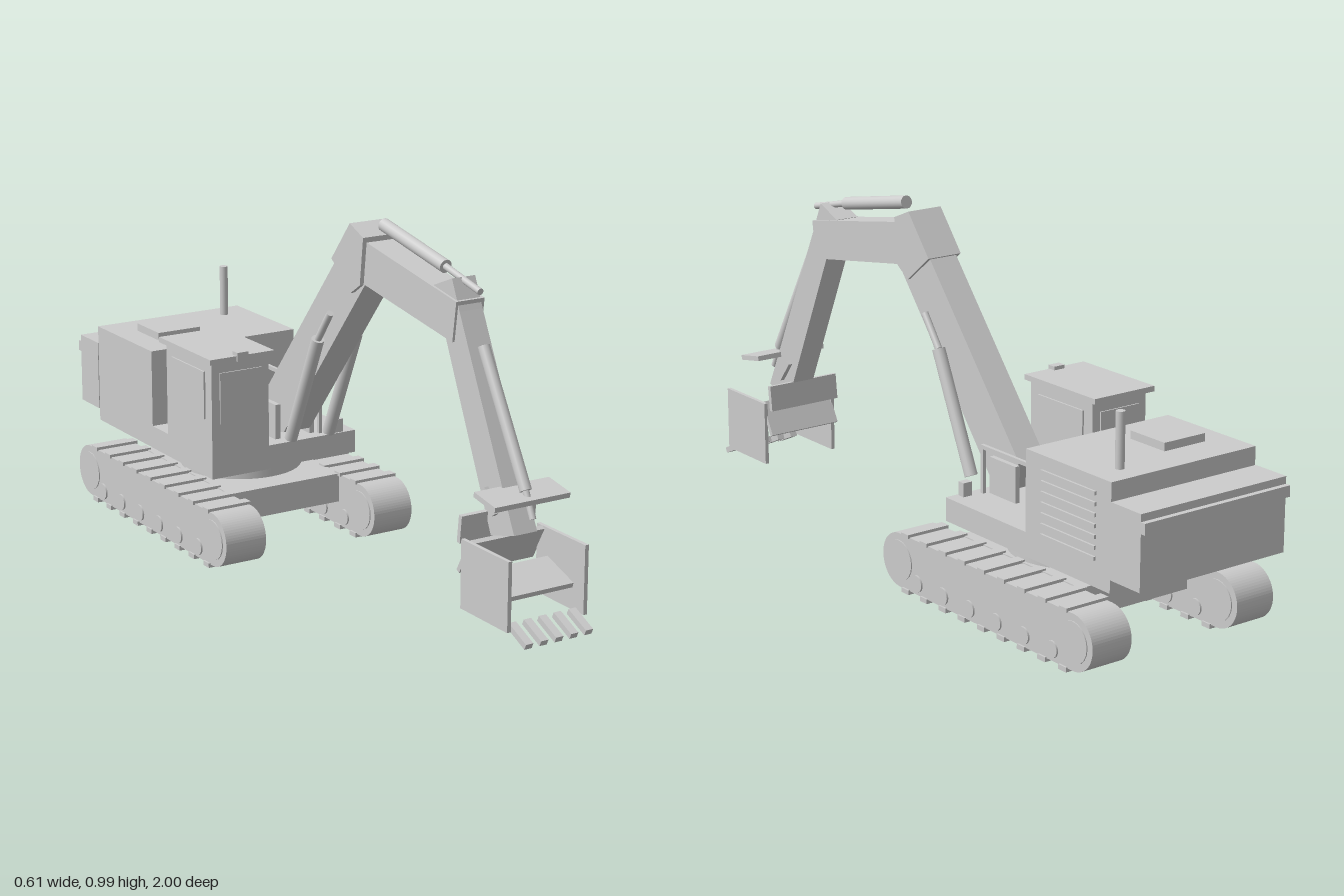
import * as THREE from 'three';

export function createModel() {
  const root = new THREE.Group();
  root.name = 'excavator';
  const grey = new THREE.MeshStandardMaterial({ color: 0xcccccc });
  grey.name = 'light grey';

  const add = (name, geo) => {
    const m = new THREE.Mesh(geo, grey);
    m.name = name;
    root.add(m);
    return m;
  };
  // box from its min and max on each axis
  const box = (name, x0, x1, y0, y1, z0, z1) =>
    add(name, new THREE.BoxGeometry(x1 - x0, y1 - y0, z1 - z0)
      .translate((x0 + x1) / 2, (y0 + y1) / 2, (z0 + z1) / 2));
  // side outline in (z, y), extruded from x0 to x1
  const extrudeX = (shape, x0, x1) =>
    new THREE.ExtrudeGeometry(shape, { depth: x1 - x0, bevelEnabled: false, curveSegments: 16 })
      .rotateY(-Math.PI / 2).translate(x1, 0, 0);
  const prism = (name, pts, x0, x1) =>
    add(name, extrudeX(new THREE.Shape(pts.map(p => new THREE.Vector2(...p))), x0, x1));
  // round bar between two (z, y) points at a given x
  const bar = (name, x, a, b, r) => {
    const p = new THREE.Vector3(x, a[1], a[0]), q = new THREE.Vector3(x, b[1], b[0]);
    const d = q.clone().sub(p);
    const m = add(name, new THREE.CylinderGeometry(r, r, d.length(), 16));
    m.position.copy(p).addScaledVector(d, 0.5);
    m.quaternion.setFromUnitVectors(new THREE.Vector3(0, 1, 0), d.normalize());
  };
  // thin plate between two (z, y) points
  const plate = (name, a, b, t, x0, x1) => {
    const dz = b[0] - a[0], dy = b[1] - a[1], l = Math.hypot(dz, dy);
    const nz = -dy / l * t / 2, ny = dz / l * t / 2;
    prism(name, [[a[0] - nz, a[1] - ny], [b[0] - nz, b[1] - ny],
      [b[0] + nz, b[1] + ny], [a[0] + nz, a[1] + ny]], x0, x1);
  };
  const disc = (name, x, y, z, r, w) =>
    add(name, new THREE.CylinderGeometry(r, r, w, 20).rotateZ(Math.PI / 2).translate(x, y, z));

  // tracks with shoes, wheels and rollers
  const R = 0.075, cy = 0.085, zf = -0.09, zb = -0.815;
  for (const s of [-1, 1]) {
    const x = s * 0.237;
    const loop = new THREE.Shape();
    loop.moveTo(zb, cy - R);
    loop.lineTo(zf, cy - R);
    loop.absarc(zf, cy, R, -Math.PI / 2, Math.PI / 2, false);
    loop.lineTo(zb, cy + R);
    loop.absarc(zb, cy, R, Math.PI / 2, Math.PI * 1.5, false);
    add('track', extrudeX(loop, x - 0.062, x + 0.062));
    for (let i = 0; i < 9; i++) {
      const z = -0.12 - i * 0.0825;
      box('trackShoe', x - 0.067, x + 0.067, 0.157, 0.168, z - 0.015, z + 0.015);
      box('trackShoe', x - 0.067, x + 0.067, 0, 0.013, z - 0.015, z + 0.015);
    }
    for (const z of [zf, zb]) disc('endWheel', x, cy, z, 0.056, 0.13);
    for (let i = 0; i < 6; i++) disc('roller', x, 0.042, -0.17 - i * 0.113, 0.023, 0.134);
  }

  // undercarriage and slewing ring
  box('undercarriage', -0.18, 0.18, 0.08, 0.163, -0.7, -0.2);
  add('slewRing', new THREE.CylinderGeometry(0.173, 0.173, 0.06, 40).translate(0, 0.187, -0.45));

  // upper body
  box('platform', -0.235, 0.235, 0.215, 0.28, -0.875, -0.21);
  box('engineHouse', -0.235, 0.235, 0.28, 0.5, -0.875, -0.545);
  box('counterweight', -0.237, 0.235, 0.25, 0.45, -0.985, -0.875);
  box('rearBumper', -0.237, 0.235, 0.4, 0.43, -1, -0.985);
  box('roofHatch', -0.16, -0.025, 0.5, 0.522, -0.77, -0.64);
  add('exhaust', new THREE.CylinderGeometry(0.012, 0.012, 0.15, 16).translate(0.15, 0.572, -0.805));
  for (let i = 0; i < 7; i++) {
    const y = 0.285 + i * 0.028;
    box('louver', 0.232, 0.241, y, y + 0.01, -0.82, -0.61);
  }

  // cab
  box('cab', -0.235, -0.055, 0.215, 0.547, -0.455, -0.2);
  box('cabRoof', -0.247, -0.045, 0.545, 0.56, -0.475, -0.185);
  box('roofLight', -0.165, -0.13, 0.545, 0.57, -0.205, -0.18);
  box('windscreen', -0.21, -0.08, 0.37, 0.515, -0.2, -0.196);
  box('sideWindow', -0.24, -0.235, 0.38, 0.515, -0.42, -0.235);
  box('innerWindow', -0.055, -0.05, 0.38, 0.515, -0.42, -0.235);
  box('rearWindow', -0.21, -0.08, 0.38, 0.515, -0.459, -0.455);

  // handrail and step box
  for (const z of [-0.24, -0.53]) box('railPost', 0.13, 0.14, 0.28, 0.41, z - 0.005, z + 0.005);
  box('railBar', 0.13, 0.14, 0.402, 0.413, -0.535, -0.235);
  box('stepBox', 0.17, 0.198, 0.28, 0.318, -0.238, -0.215);

  // boom: lower arm, knuckle, upper arm
  for (const [x0, x1] of [[-0.004, 0.012], [0.108, 0.122]])
    box('boomBracket', x0, x1, 0.28, 0.38, -0.36, -0.25);
  prism('lowerBoom', [[0.18, 0.815], [-0.24, 0.3], [-0.29, 0.29], [-0.35, 0.385], [0.1, 0.93]], 0.017, 0.103);
  prism('boomKnuckle', [[0.185, 0.94], [0.17, 0.81], [0.125, 0.78], [0.03, 0.855], [0.12, 0.967]], 0.005, 0.112);
  prism('upperBoom', [[0.595, 0.855], [0.58, 0.748], [0.15, 0.815], [0.16, 0.93]], 0.017, 0.103);

  // boom cylinders
  for (const x of [-0.003, 0.12]) {
    bar('boomCylinder', x, [-0.168, 0.305], [-0.025, 0.622], 0.018);
    bar('boomRod', x, [-0.025, 0.622], [0.037, 0.707], 0.01);
  }

  // stick with its cylinder
  prism('stick', [[0.565, 0.908], [0.485, 0.875], [0.75, 0.288], [0.848, 0.315], [0.6, 0.83]], 0.024, 0.094);
  bar('stickCylinder', 0.06, [0.2, 0.972], [0.485, 0.918], 0.018);
  bar('stickRod', 0.06, [0.485, 0.918], [0.637, 0.884], 0.009);

  // bucket cylinder and linkage
  bar('bucketCylinder', 0.06, [0.655, 0.75], [0.843, 0.425], 0.016);
  bar('bucketRod', 0.06, [0.843, 0.425], [0.875, 0.36], 0.009);
  plate('upperLink', [0.875, 0.403], [0.785, 0.419], 0.014, -0.055, 0.173);
  for (const x of [0.012, 0.095]) plate('sideLink', [0.775, 0.35], [0.73, 0.408], 0.014, x, x + 0.013);

  // bucket plates, cheeks and teeth
  plate('bucketTop', [0.73, 0.348], [0.722, 0.275], 0.013, -0.055, 0.173);
  plate('bucketBack', [0.772, 0.29], [0.722, 0.2], 0.013, -0.055, 0.173);
  plate('bucketFloor', [0.9, 0.175], [0.79, 0.213], 0.014, -0.055, 0.173);
  for (const x of [-0.062, 0.17]) box('bucketCheek', x, x + 0.011, 0.11, 0.293, 0.745, 0.945);
  for (let i = 0; i < 5; i++) {
    const x = -0.031 + i * 0.0455;
    plate('tooth', [0.993, 0.085], [0.92, 0.118], 0.016, x - 0.011, x + 0.011);
  }
  return root;
}
